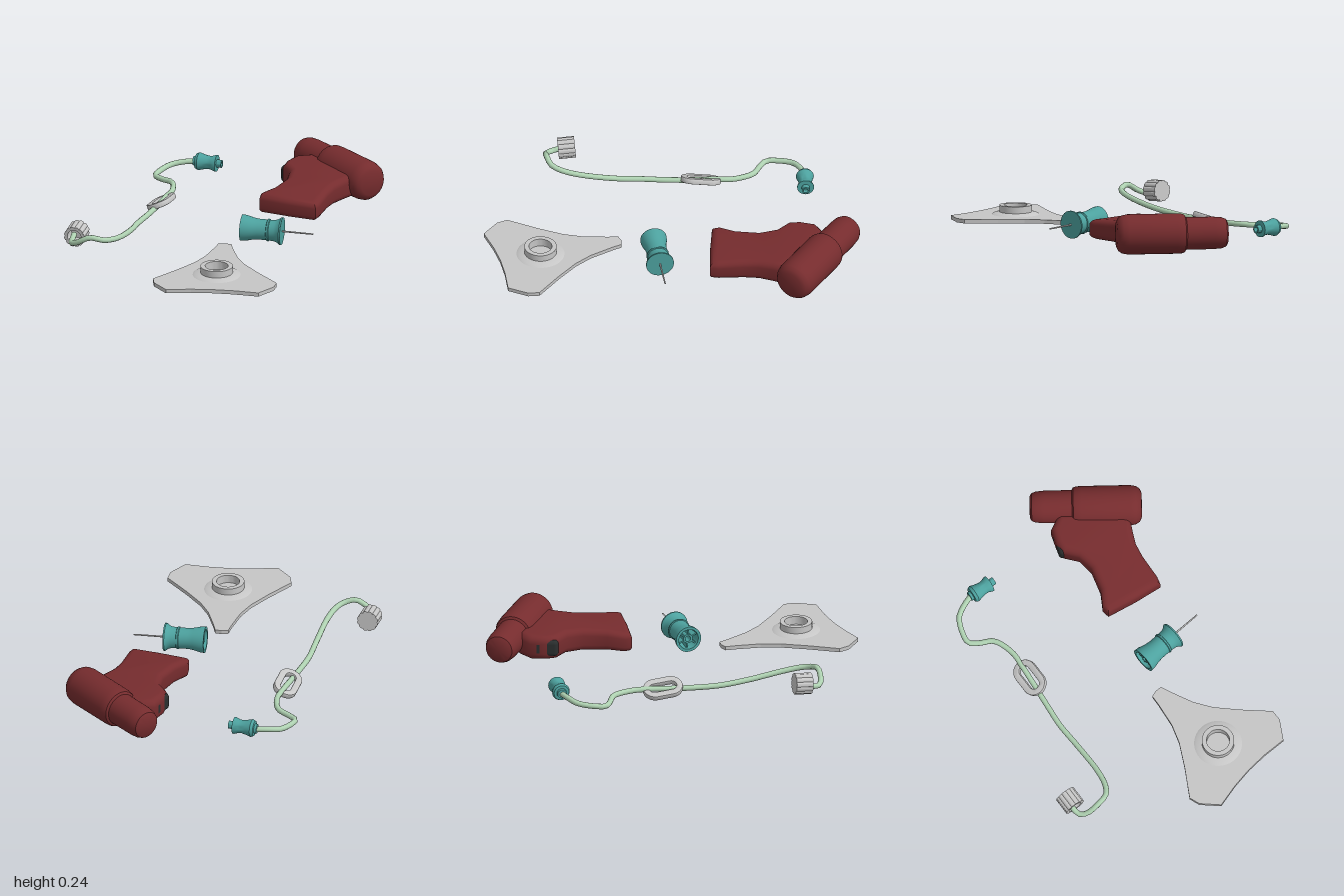
import * as THREE from 'three';
import { toCreasedNormals } from 'three/addons/utils/BufferGeometryUtils.js';
import { RoundedBoxGeometry } from 'three/addons/geometries/RoundedBoxGeometry.js';

const mat = (name, color) => Object.assign(new THREE.MeshStandardMaterial({ color }), { name });
const RED = mat('dark red', 0x762c2e);
const BLACK = mat('trigger black', 0x2a2e2e);
const TEAL = mat('teal', 0x4da29f);
const GREEN = mat('pale green', 0xafd2b2);
const GREY = mat('light grey', 0xc6c6c6);

const V = (x, y, z) => new THREE.Vector3(x, y, z);
const outline = (pts) => new THREE.Shape(pts.map(([x, y]) => new THREE.Vector2(x, y)));

function add(parent, name, geo, material) {
  const mesh = new THREE.Mesh(geo, material);
  mesh.name = name;
  parent.add(mesh);
  return mesh;
}

// Solid of revolution with crisp edges
function turned(profile, sides = 32) {
  const g = new THREE.LatheGeometry(profile.map(([r, y]) => new THREE.Vector2(r, y)), sides);
  return toCreasedNormals(g, 0.6);
}

// Move an object and point its y axis along a direction
function aim(obj, pos, dir) {
  obj.position.copy(pos);
  obj.quaternion.setFromUnitVectors(V(0, 1, 0), dir.clone().normalize());
  return obj;
}

// Oblong outline running along y
function oblong(Type, halfLength, r) {
  const s = new Type();
  const h = halfLength - r;
  s.absarc(0, h, r, 0, Math.PI, false);
  s.absarc(0, -h, r, Math.PI, Math.PI * 2, false);
  s.closePath();
  return s;
}

function buildDriver() {
  const driver = new THREE.Group();
  driver.name = 'driver';

  // Motor barrel with a narrower nose
  const barrel = add(driver, 'barrel', turned([
    [0, 0], [0.06, 0.002], [0.077, 0.012], [0.086, 0.035], [0.09, 0.08], [0.091, 0.235],
    [0.104, 0.243], [0.11, 0.258], [0.112, 0.29], [0.112, 0.56], [0.106, 0.592],
    [0.092, 0.613], [0.07, 0.623], [0, 0.626],
  ], 40), RED);
  aim(barrel, V(0.357, 0.137, -0.955), V(0.685, 0, 0.73));

  // Pistol grip: rounded slab whose thickness grows towards the barrel
  const grip = new THREE.ExtrudeGeometry(outline([
    [0.33, -0.77], [0.285, -0.69], [0.274, -0.625], [0.317, -0.546], [0.311, -0.45],
    [0.253, -0.33], [0.187, -0.255], [0.185, -0.21], [0.35, -0.155], [0.508, -0.112],
    [0.528, -0.155], [0.56, -0.29], [0.59, -0.37], [0.635, -0.435], [0.70, -0.52], [0.43, -0.80],
  ]), { depth: 0.06, bevelSize: 0.038, bevelOffset: -0.038, bevelThickness: 0.04, bevelSegments: 5 });
  grip.translate(0, 0, -0.03).rotateX(Math.PI / 2);
  const p = grip.attributes.position;
  for (let i = 0; i < p.count; i++) {
    const t = THREE.MathUtils.clamp((p.getZ(i) + 0.11) / -0.36, 0, 1.3);
    p.setY(i, 0.101 + 0.014 * t + (p.getY(i) / 0.07) * (0.054 + 0.012 * t));
  }
  add(driver, 'grip', toCreasedNormals(grip, 0.8), RED);

  const trigger = add(driver, 'trigger', new RoundedBoxGeometry(0.07, 0.1, 0.145, 4, 0.025), BLACK);
  trigger.position.set(0.32, 0.12, -0.68);
  trigger.rotation.y = -0.5;
  return driver;
}

function buildNeedleSet() {
  const set = new THREE.Group();
  set.name = 'needleSet';

  // Hub: flared spool, hollow at the back
  add(set, 'hub', turned([
    [0, -0.03], [0.05, -0.03], [0.058, -0.115], [0.074, -0.115], [0.072, -0.09], [0.062, -0.05],
    [0.058, -0.02], [0.058, 0.03], [0.063, 0.033], [0.063, 0.042], [0.058, 0.045],
    [0.06, 0.075], [0.066, 0.092], [0.078, 0.107], [0.078, 0.115], [0, 0.115],
  ]), TEAL);
  // Core tube and ribs inside the hollow
  add(set, 'core', turned([
    [0.016, -0.105], [0.027, -0.105], [0.027, -0.03], [0.016, -0.03], [0.016, -0.105],
  ], 20), TEAL);
  for (let i = 0; i < 6; i++) {
    const a = i * Math.PI / 3;
    const rib = add(set, 'rib', new THREE.BoxGeometry(0.03, 0.07, 0.008), TEAL);
    rib.position.set(Math.cos(a) * 0.04, -0.065, -Math.sin(a) * 0.04);
    rib.rotation.y = a;
  }
  const needle = add(set, 'needle', new THREE.CylinderGeometry(0.004, 0.005, 0.18, 10), GREY);
  needle.position.y = 0.2;
  return aim(set, V(0.233, 0.086, 0.12), V(0.99, -0.02, 0.1));
}

function buildBase() {
  const base = new THREE.Group();
  base.name = 'stabilizerBase';

  // Three-armed plate, right half mirrored
  const half = [[0, -0.465], [0.037, -0.457], [0.05, -0.4], [0.09, -0.265], [0.14, -0.165],
    [0.228, -0.045], [0.345, 0.098], [0.334, 0.16], [0.258, 0.256], [0.12, 0.237], [0, 0.231]];
  const left = half.slice(1, -1).reverse().map(([x, z]) => [-x, z]);
  const plate = new THREE.ExtrudeGeometry(outline([...half, ...left]), { depth: 0.022, bevelEnabled: false });
  plate.rotateX(Math.PI / 2).translate(0, 0.055, 0);
  add(base, 'plate', plate, GREY);

  // Collar with a sloping foot
  const collar = add(base, 'collar', turned([
    [0.135, 0], [0.12, 0.008], [0.09, 0.014], [0.09, 0.052], [0.064, 0.052], [0.064, 0.005], [0, 0.005],
  ], 40), GREY);
  collar.position.y = 0.054;
  base.position.set(0.042, 0, 0.737);
  return base;
}

function buildExtensionSet() {
  const line = new THREE.Group();
  line.name = 'extensionSet';

  // Flexible tubing
  const path = new THREE.CatmullRomCurve3([
    [-0.22, 0.088, -0.86], [-0.30, 0.085, -0.85], [-0.37, 0.075, -0.825], [-0.425, 0.065, -0.75],
    [-0.443, 0.06, -0.69], [-0.40, 0.06, -0.64], [-0.343, 0.065, -0.59], [-0.325, 0.065, -0.47],
    [-0.35, 0.065, -0.37], [-0.385, 0.058, -0.25], [-0.43, 0.055, -0.105], [-0.465, 0.058, 0.01],
    [-0.495, 0.072, 0.17], [-0.54, 0.105, 0.365], [-0.58, 0.125, 0.455], [-0.62, 0.137, 0.495],
    [-0.69, 0.152, 0.505], [-0.76, 0.115, 0.488], [-0.795, 0.097, 0.455], [-0.79, 0.115, 0.37],
  ].map((q) => V(...q)));
  add(line, 'tubing', new THREE.TubeGeometry(path, 64, 0.0155, 10), GREEN);

  // Spool-shaped connector
  const connector = add(line, 'connector', turned([
    [0, -0.08], [0.026, -0.08], [0.028, -0.066], [0.043, -0.064], [0.05, -0.048], [0.042, -0.02],
    [0.037, 0.005], [0.038, 0.025], [0.047, 0.048], [0.047, 0.056], [0.022, 0.056],
    [0.022, 0.085], [0.014, 0.085], [0.014, 0.06], [0, 0.06],
  ], 24), TEAL);
  aim(connector, V(-0.168, 0.09, -0.842), V(0.97, 0, 0.22));

  // Oblong pinch clip
  const clipShape = oblong(THREE.Shape, 0.112, 0.068);
  clipShape.holes.push(oblong(THREE.Path, 0.078, 0.03));
  const clipGeo = new THREE.ExtrudeGeometry(clipShape, {
    depth: 0.022, bevelSize: 0.005, bevelOffset: -0.005, bevelThickness: 0.005, bevelSegments: 2, curveSegments: 16,
  });
  clipGeo.translate(0, 0, -0.011).rotateX(Math.PI / 2);
  const clip = add(line, 'clip', toCreasedNormals(clipGeo, 0.6), GREY);
  clip.position.set(-0.37, 0.063, -0.297);
  clip.rotation.set(-0.1, -0.23, 0.42, 'YXZ');

  // Fluted end cap, open towards the tubing
  const cap = new THREE.Group();
  cap.name = 'endCap';
  const flutes = (n = 120) => outline(Array.from({ length: n }, (_, i) => {
    const a = (i / n) * Math.PI * 2;
    const r = 0.053 + 0.007 * Math.sqrt(Math.abs(Math.sin(a * 6)));
    return [r * Math.cos(a), r * Math.sin(a)];
  }));
  const wall = flutes();
  wall.holes.push(new THREE.Path().absarc(0, 0, 0.04, 0, Math.PI * 2, true));
  const flat = (depth) => ({ depth, bevelEnabled: false, curveSegments: 20 });
  add(cap, 'capWall', toCreasedNormals(new THREE.ExtrudeGeometry(wall, flat(0.075)), 0.6), GREY);
  const end = add(cap, 'capEnd', toCreasedNormals(new THREE.ExtrudeGeometry(flutes(), flat(0.02)), 0.6), GREY);
  end.position.z = -0.02;
  cap.position.set(-0.77, 0.122, 0.34);
  cap.rotation.set(0.08, -0.2, 0);
  line.add(cap);
  return line;
}

export function createModel() {
  const model = new THREE.Group();
  model.name = 'drillKit';
  model.add(buildDriver(), buildNeedleSet(), buildBase(), buildExtensionSet());
  return model;
}
